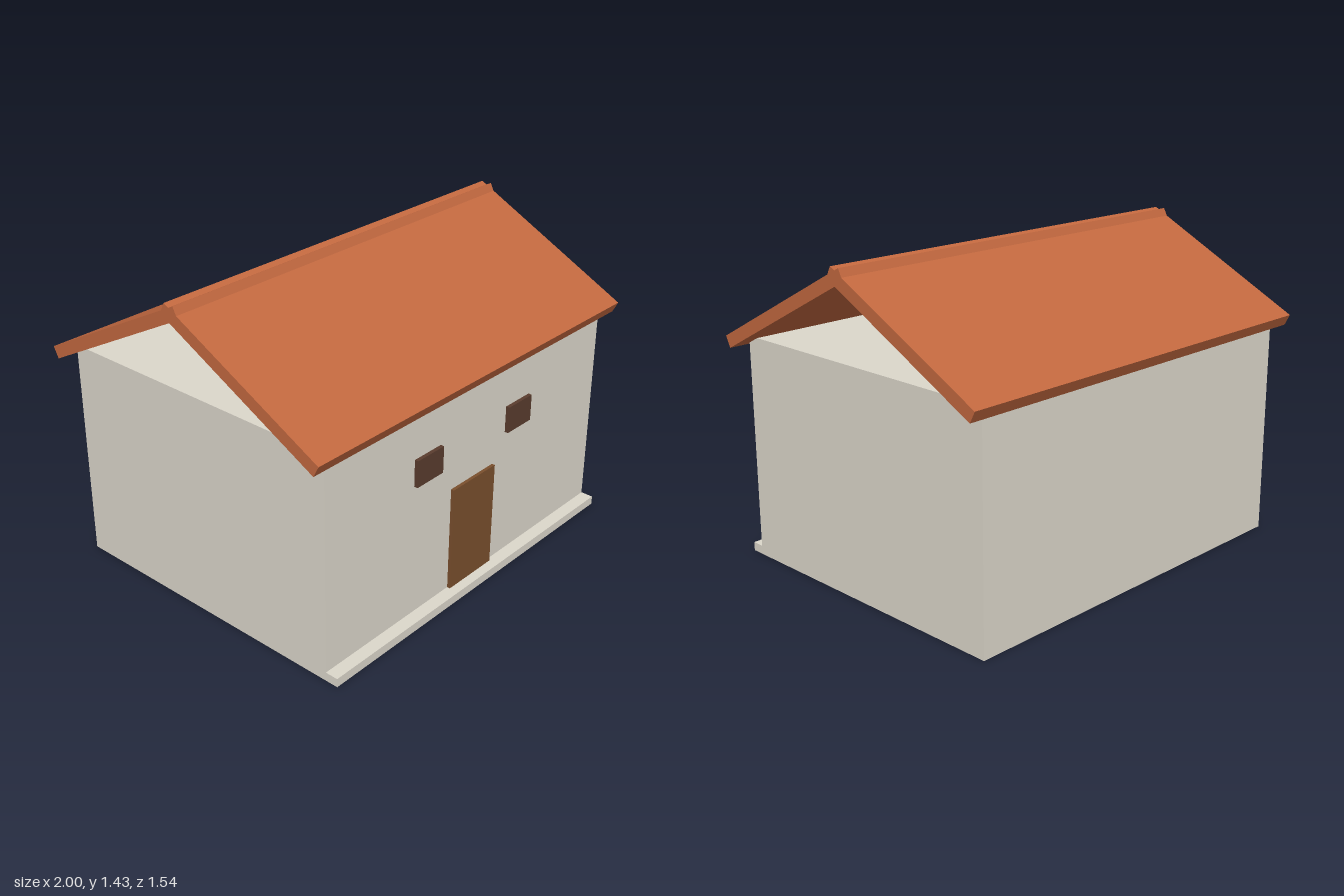
import * as THREE from 'three';

const material = (name, color) => {
  const m = new THREE.MeshStandardMaterial({ color });
  m.name = name;
  return m;
};

export function createModel() {
  const house = new THREE.Group();
  house.name = 'house';
  const plaster = material('plaster', 0xdcd7cb);
  const tile = material('terracotta', 0xc2683f);
  const wood = material('doorWood', 0x7a4f2d);
  const darkWood = material('windowWood', 0x5a3c2e);

  // Box given by its extents on each axis
  const block = (name, mat, [x0, x1], [y0, y1], [z0, z1]) => {
    const mesh = new THREE.Mesh(new THREE.BoxGeometry(x1 - x0, y1 - y0, z1 - z0), mat);
    mesh.position.set((x0 + x1) / 2, (y0 + y1) / 2, (z0 + z1) / 2);
    mesh.name = name;
    house.add(mesh);
  };

  // Walls and the low step along the front
  block('walls', plaster, [-0.917, 0.917], [0, 1.02], [-0.72, 0.71]);
  block('frontStep', plaster, [-0.917, 0.917], [0, 0.04], [0.71, 0.77]);

  // Door and windows
  block('door', wood, [-0.143, 0.143], [0.001, 0.532], [0.7, 0.725]);
  block('windowRight', darkWood, [-0.39, -0.225], [0.655, 0.778], [0.7, 0.727]);
  block('windowLeft', darkWood, [0.225, 0.39], [0.655, 0.778], [0.7, 0.727]);

  // Two roof slabs that cross at the ridge
  const pitch = 0.476;
  for (const side of [1, -1]) {
    const slab = new THREE.Mesh(new THREE.BoxGeometry(2, 0.056, 0.888), tile);
    slab.position.set(0, 1.206, -0.004 + side * 0.357);
    slab.rotation.x = side * pitch;
    slab.name = side > 0 ? 'roofFront' : 'roofBack';
    house.add(slab);
  }

  return house;
}
